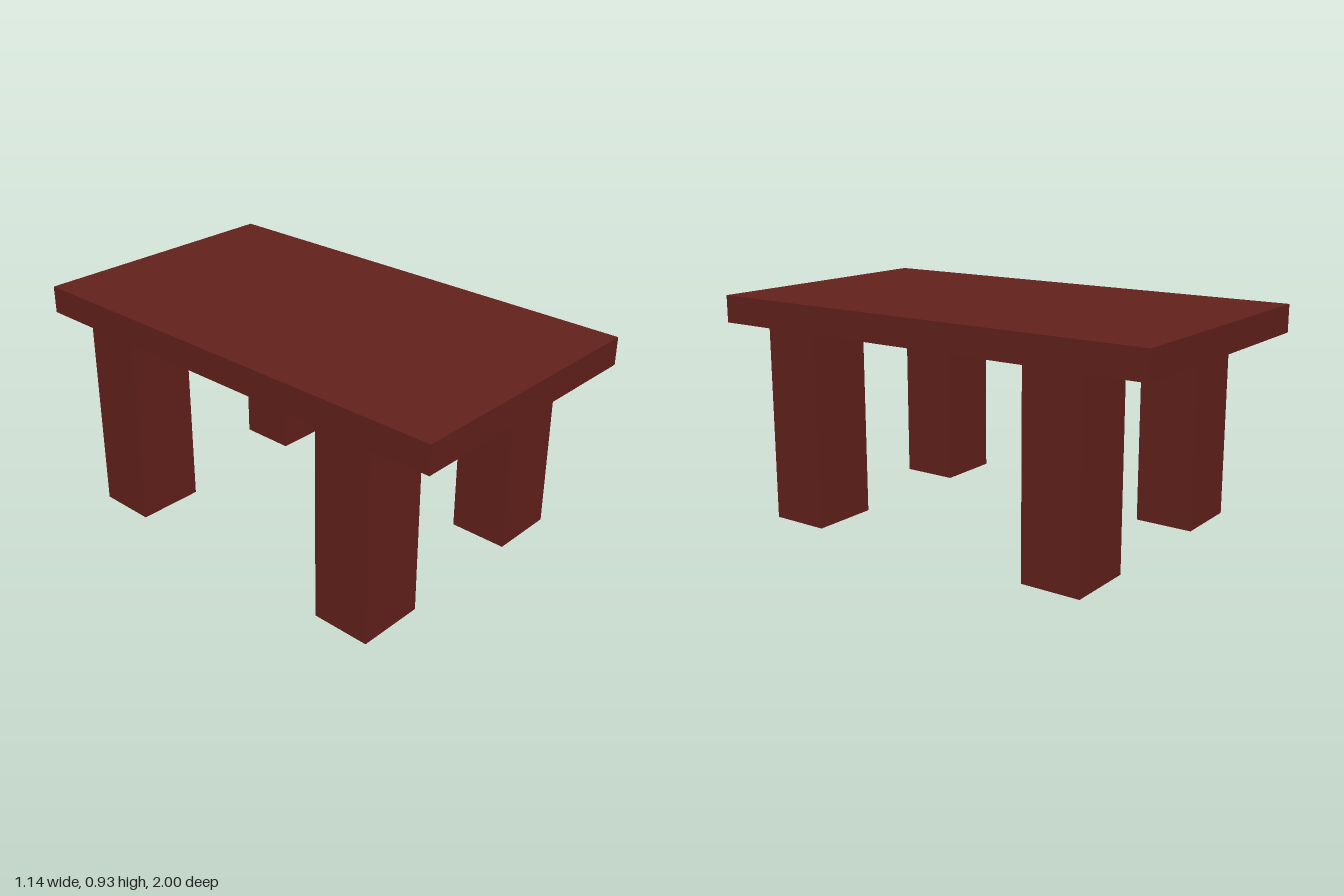
import * as THREE from 'three';

const WIDTH = 1.143, LENGTH = 2, HEIGHT = 0.925, TOP = 0.115;
const LEG_WIDTH = 0.286, LEG_DEPTH = 0.25, LEG_Z = 0.625;

export function createModel() {
  const table = new THREE.Group();
  table.name = 'table';
  const wood = new THREE.MeshStandardMaterial({ color: 0x64211b });

  // Thick slab top
  const top = new THREE.Mesh(new THREE.BoxGeometry(WIDTH, TOP, LENGTH), wood);
  top.name = 'tableTop';
  top.position.y = HEIGHT - TOP / 2;
  table.add(top);

  // Four square-cut legs, flush with the long edges
  const legHeight = HEIGHT - TOP;
  const legGeometry = new THREE.BoxGeometry(LEG_WIDTH, legHeight, LEG_DEPTH);
  for (const [sideName, sx] of [['Left', 1], ['Right', -1]]) {
    for (const [endName, sz] of [['front', 1], ['back', -1]]) {
      const leg = new THREE.Mesh(legGeometry, wood);
      leg.name = `${endName}${sideName}Leg`;
      leg.position.set(sx * (WIDTH - LEG_WIDTH) / 2, legHeight / 2, sz * LEG_Z);
      table.add(leg);
    }
  }
  return table;
}
